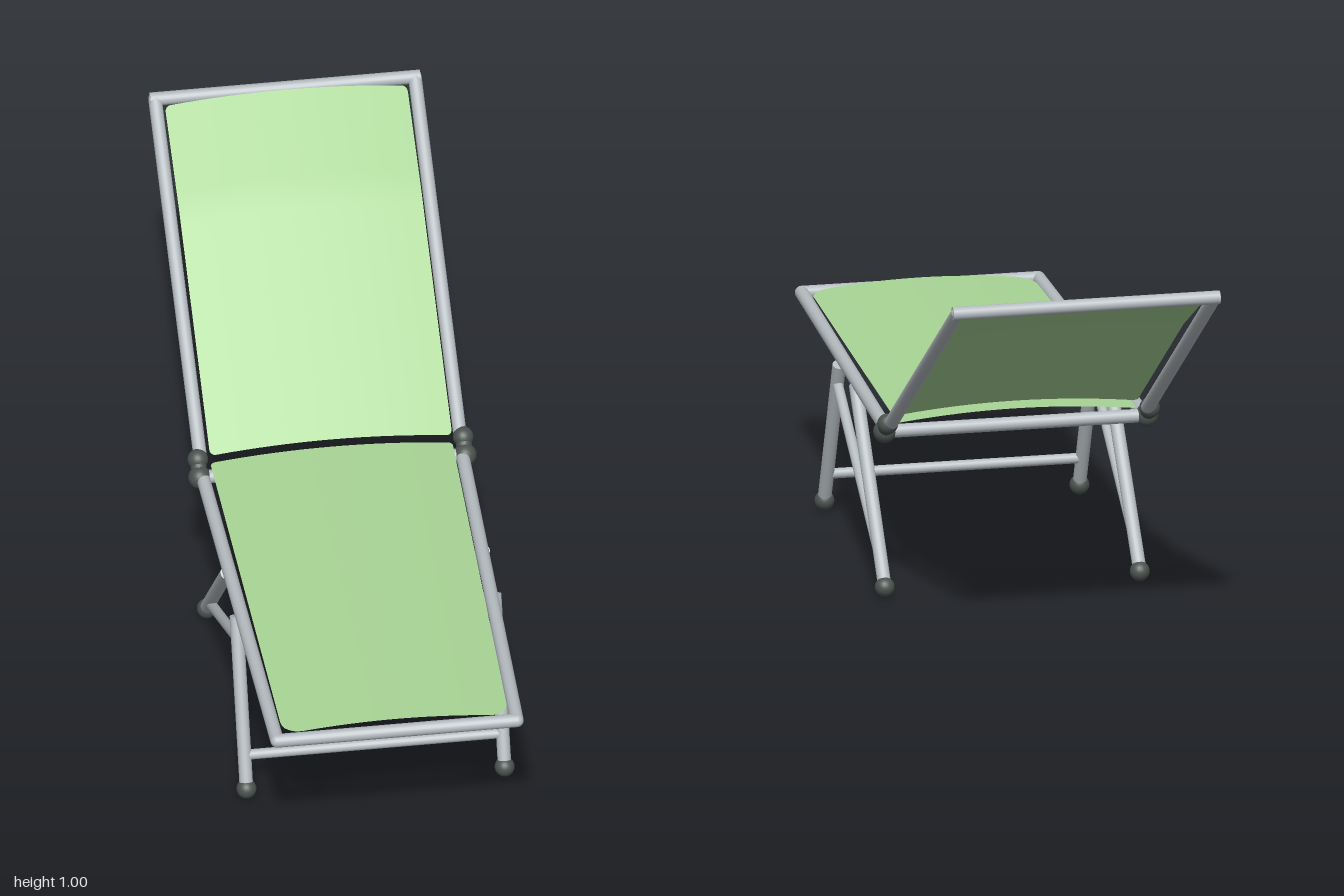
import * as THREE from 'three';

const metal = new THREE.MeshStandardMaterial({ color: 0xb5bcc0 });
const rubber = new THREE.MeshStandardMaterial({ color: 0x4b534f });
const fabric = new THREE.MeshStandardMaterial({ color: 0xa9d596, side: THREE.DoubleSide });

// Round tube between two points
function tube(name, a, b, r, material = metal) {
  const p = new THREE.Vector3(...a), q = new THREE.Vector3(...b);
  const dir = q.clone().sub(p);
  const mesh = new THREE.Mesh(new THREE.CylinderGeometry(r, r, dir.length(), 20), material);
  mesh.position.copy(p).add(q).multiplyScalar(0.5);
  mesh.quaternion.setFromUnitVectors(new THREE.Vector3(0, 1, 0), dir.normalize());
  mesh.name = name;
  return mesh;
}

function ball(name, p, r, material = rubber) {
  const mesh = new THREE.Mesh(new THREE.SphereGeometry(r, 20, 14), material);
  mesh.position.set(...p);
  mesh.name = name;
  return mesh;
}

// Arched cloth from z0 to z1 with rounded corners (radius r0 and r1 at the ends)
function cloth(name, z0, z1, r0, r1, halfWidth, height, arch) {
  const rows = [], cols = 16, corner = 6, mid = 20;
  for (let i = 0; i <= corner; i++) {
    const a = (i / corner) * Math.PI / 2;
    rows.push([z0 + r0 * (1 - Math.cos(a)), r0 * (1 - Math.sin(a))]);
  }
  for (let i = 1; i < mid; i++) rows.push([z0 + r0 + (z1 - r1 - z0 - r0) * i / mid, 0]);
  for (let i = corner; i >= 0; i--) {
    const a = (i / corner) * Math.PI / 2;
    rows.push([z1 - r1 * (1 - Math.cos(a)), r1 * (1 - Math.sin(a))]);
  }
  const pos = [], index = [];
  rows.forEach(([z, inset], i) => {
    for (let j = 0; j <= cols; j++) {
      const w = halfWidth(z), x = (w - inset) * (2 * j / cols - 1);
      pos.push(x, height(z) + arch * (1 - (x / w) ** 2), z);
      if (i < rows.length - 1 && j < cols) {
        const a = i * (cols + 1) + j, b = a + cols + 1;
        index.push(a, b, a + 1, a + 1, b, b + 1);
      }
    }
  });
  const geo = new THREE.BufferGeometry();
  geo.setAttribute('position', new THREE.Float32BufferAttribute(pos, 3));
  geo.setIndex(index);
  geo.computeVertexNormals();
  const mesh = new THREE.Mesh(geo, fabric);
  mesh.name = name;
  return mesh;
}

export function createModel() {
  const model = new THREE.Group();
  model.name = 'sunLounger';
  const R = 0.017;

  for (const s of [-1, 1]) {
    const side = s > 0 ? 'left' : 'right';
    const part = (n) => side + n;
    // Seat and backrest rails
    model.add(tube(part('SeatRail'), [s * 0.325, 0.432, -0.15], [s * 0.3, 0.45, 0.983], R));
    model.add(tube(part('BackRail'), [s * 0.325, 0.455, -0.18], [s * 0.325, 0.983, -0.983], R));
    model.add(ball(part('SeatCorner'), [s * 0.3, 0.45, 0.983], R, metal));
    model.add(ball(part('BackCorner'), [s * 0.325, 0.983, -0.983], R, metal));

    // Hinge
    model.add(ball(part('LowerHinge'), [s * 0.332, 0.43, -0.15], 0.029));
    model.add(ball(part('UpperHinge'), [s * 0.332, 0.46, -0.185], 0.026));
    model.add(tube(part('HingeLink'), [s * 0.332, 0.43, -0.15], [s * 0.332, 0.46, -0.185], 0.02, rubber));

    // Legs, brace and feet
    const xf = s * 0.323, xr = s * 0.323 + 0.008;
    model.add(tube(part('FrontLeg'), [xf, 0.43, 0.43], [xf, 0.03, 0.605], R));
    model.add(tube(part('RearLeg'), [s * 0.32, 0.43, 0.25], [xr, 0.03, -0.145], R));
    model.add(tube(part('LegBrace'), [xf, 0.375, 0.45], [xr, 0.085, -0.09], 0.013));
    model.add(ball(part('FrontFoot'), [xf, 0.026, 0.606], 0.025));
    model.add(ball(part('RearFoot'), [xr, 0.026, -0.146], 0.025));
  }

  // Cross bars
  model.add(tube('seatFrontBar', [-0.3, 0.45, 0.983], [0.3, 0.45, 0.983], R));
  model.add(tube('seatRearBar', [-0.325, 0.43, -0.15], [0.325, 0.43, -0.15], R));
  model.add(tube('backTopBar', [-0.338, 0.983, -0.983], [0.338, 0.983, -0.983], R));
  model.add(tube('legCrossBar', [-0.32, 0.105, 0.572], [0.32, 0.105, 0.572], 0.013));

  // Seat cloth narrows towards the foot end
  model.add(cloth('seatCloth', -0.17, 0.968, 0.012, 0.05,
    (z) => 0.303 - 0.021 * (z + 0.17) / 1.138, () => 0.456, 0.019));

  // Backrest cloth rides above the rails, then drops to the top bar
  const lift = (z) => 0.027 * THREE.MathUtils.clamp((z + 0.97) / 0.25, 0, 1);
  model.add(cloth('backCloth', -0.965, -0.172, 0.014, 0.014,
    () => 0.303, (z) => 0.455 - 0.6575 * (z + 0.18) + lift(z), 0.019));

  return model;
}
